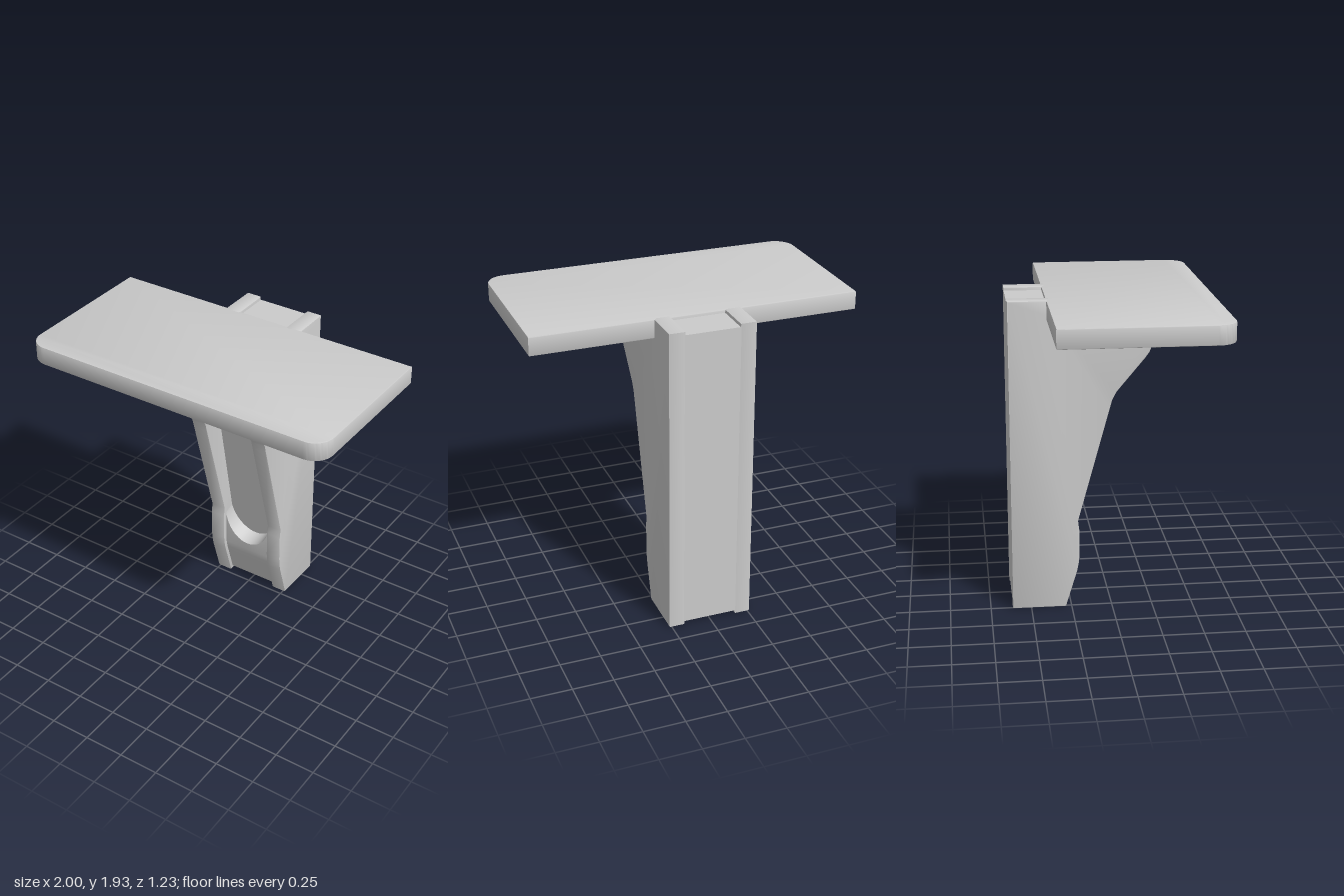
import * as THREE from 'three';
import { toCreasedNormals } from 'three/addons/utils/BufferGeometryUtils.js';

const GREY = new THREE.MeshStandardMaterial({ color: 0xcccccc });
const GREY_OPEN = new THREE.MeshStandardMaterial({ color: 0xcccccc, side: THREE.DoubleSide });

// Front edge of the bracket as [z, y], bottom to top
const FRONT = [
  [-0.285, 0], [-0.215, 0.23], [-0.205, 0.28], [-0.2, 0.33], [-0.2, 0.5], [-0.207, 0.56],
  [-0.012, 1.27], [0.002, 1.32], [0.028, 1.37], [0.2, 1.575], [0.225, 1.61], [0.242, 1.655], [0.285, 1.815],
];

function frontZ(y) {
  for (let i = 1; i < FRONT.length; i++) {
    const [z0, y0] = FRONT[i - 1], [z1, y1] = FRONT[i];
    if (y <= y1) return z0 + (z1 - z0) * (y - y0) / (y1 - y0);
  }
  return FRONT[FRONT.length - 1][0];
}

// Extrusion with a small bevel that stays inside the outline, centred on its depth
function slab(points, thickness, bevel) {
  const geo = new THREE.ExtrudeGeometry(points, {
    depth: thickness - 2 * bevel, bevelEnabled: true, bevelSize: bevel,
    bevelThickness: bevel, bevelOffset: -bevel, bevelSegments: 2, curveSegments: 10,
  });
  geo.translate(0, 0, bevel - thickness / 2);
  return toCreasedNormals(geo, 0.6);
}

function add(group, name, geo, material = GREY) {
  const mesh = new THREE.Mesh(geo, material);
  mesh.name = name;
  group.add(mesh);
  return mesh;
}

// Recessed front panel with a round-ended pocket, as a grid of rows over x
function webFront() {
  const half = 0.167, inset = 0.025, cols = 24;
  const panel = (y) => [y, frontZ(y) - inset];
  const floor = (y) => [y, -0.33 + 0.19 * (y - 0.355)];
  const rows = (x) => {
    const arc = Math.sqrt(Math.max(0, 1 - (x / half) ** 2));
    const low = 0.55 - 0.22 * arc, high = 1.31 + 0.205 * arc;
    return [
      [0.02, -0.45], panel(0.02), panel(0.23), panel(0.28), panel(low), floor(low + 0.025),
      floor(high), panel(high), panel(1.575), panel(1.61), panel(1.655), panel(1.815), [1.85, 0.26],
    ];
  };
  const count = rows(0).length;
  const geo = new THREE.PlaneGeometry(2, 2, cols, count - 1);
  const pos = geo.attributes.position;
  for (let i = 0; i <= cols; i++) {
    // Columns bunch towards the sides so the pocket ends stay round
    const x = -half * Math.cos(Math.PI * i / cols);
    rows(x).forEach(([y, z], j) => pos.setXYZ((count - 1 - j) * (cols + 1) + i, x, y, z));
  }
  return toCreasedNormals(geo, 0.6);
}

export function createModel() {
  const model = new THREE.Group();
  model.name = 'shelfBracket';

  // Shelf plate with rounded front corners
  const r = 0.12, back = 0.385, front = -0.615;
  const plate = new THREE.Shape();
  plate.moveTo(-1, back);
  plate.lineTo(-1, front + r);
  plate.absarc(-1 + r, front + r, r, Math.PI, 1.5 * Math.PI, false);
  plate.absarc(1 - r, front + r, r, 1.5 * Math.PI, 2 * Math.PI, false);
  plate.lineTo(1, back);
  plate.closePath();
  const shelf = slab(plate, 0.115, 0.006);
  shelf.rotateX(-Math.PI / 2);
  shelf.translate(0, 1.8725, 0);
  add(model, 'shelfPlate', shelf);

  // Two side ribs
  const outline = [...FRONT, [0.285, 1.85], [-0.37, 1.85], [-0.37, 1.93], [-0.615, 1.93], [-0.615, 0]];
  const rib = slab(new THREE.Shape(outline.map(([z, y]) => new THREE.Vector2(z, y))), 0.1, 0.007);
  rib.rotateY(-Math.PI / 2);
  for (const [name, side] of [['leftRib', 1], ['rightRib', -1]]) {
    add(model, name, rib).position.x = side * 0.215;
  }

  // Web between the ribs, slightly lower at top and bottom
  const web = new THREE.BoxGeometry(0.36, 1.89, 0.235);
  web.translate(0, 0.965, -0.4965);
  add(model, 'backWeb', web);
  add(model, 'pocketPanel', webFront(), GREY_OPEN);

  return model;
}
